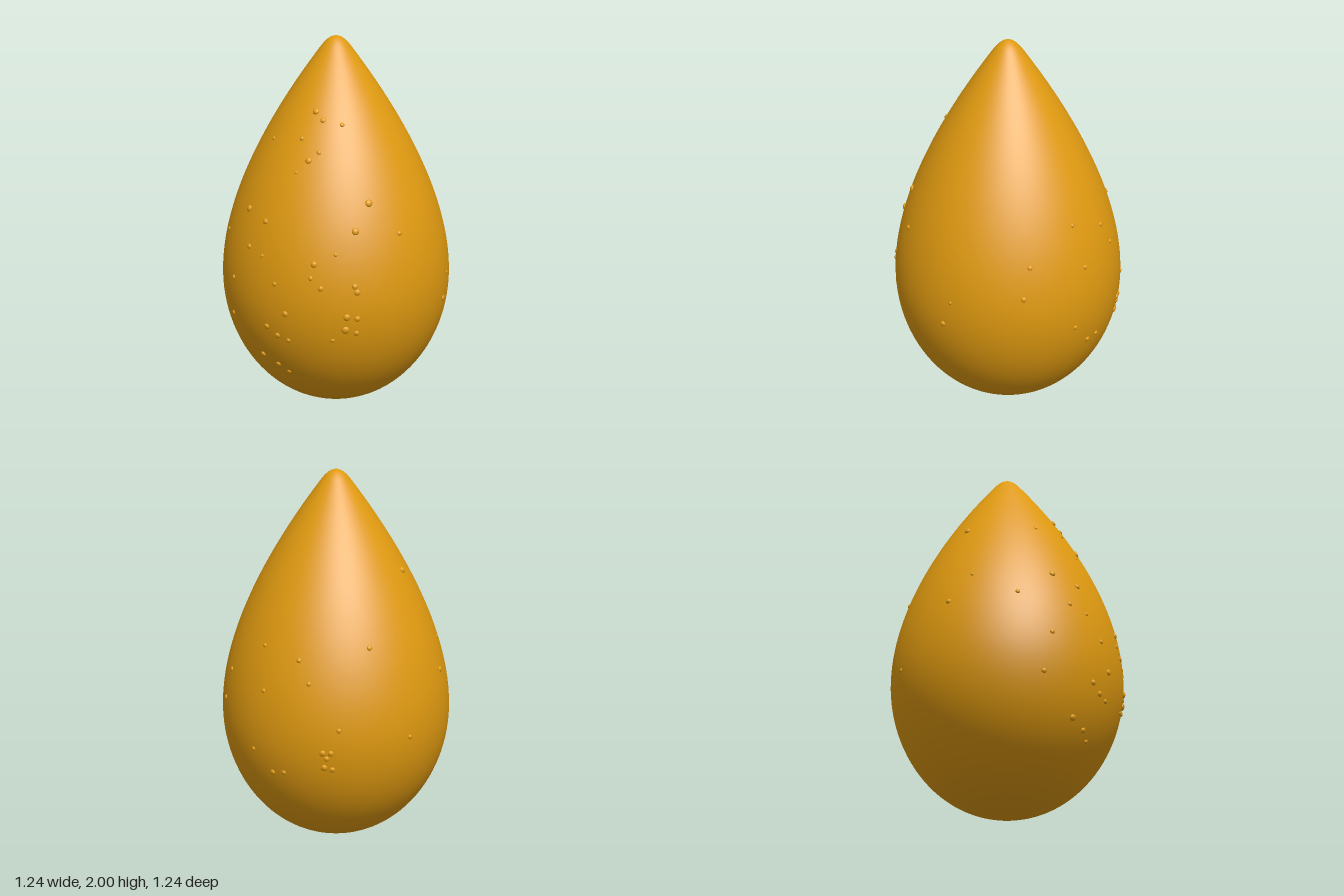
import * as THREE from 'three';

const V = (x, y) => new THREE.Vector2(x, y);

// Teardrop outline: round base, long shoulder, small rounded tip
const profile = [
  ...new THREE.CubicBezierCurve(V(0, 0), V(0.36, 0), V(0.62, 0.34), V(0.62, 0.72)).getPoints(28),
  ...new THREE.CubicBezierCurve(V(0.62, 0.72), V(0.62, 1.15), V(0.33, 1.62), V(0.08, 1.945)).getPoints(32).slice(1),
  ...new THREE.CubicBezierCurve(V(0.08, 1.945), V(0.05, 1.984), V(0.025, 2), V(0, 2)).getPoints(10).slice(1),
];

// Radius and outward slope of the body at a given height
function surfaceAt(y) {
  const i = Math.max(1, profile.findIndex((p) => p.y >= y));
  const a = profile[i - 1], b = profile[i];
  const t = (y - a.y) / (b.y - a.y);
  const d = b.clone().sub(a).normalize();
  return { radius: a.x + (b.x - a.x) * t, nr: d.y, ny: -d.x };
}

// Droplets as [sideways offset, height, size], seen square on to one side
const frontDrops = [
  [0.07, 1.64, 0.017], [0.12, 1.6, 0.014], [0.21, 1.58, 0.012], [-0.15, 1.49, 0.01],
  [0.04, 1.51, 0.011], [0.15, 1.45, 0.012], [0.11, 1.41, 0.017], [0.06, 1.35, 0.008],
  [0.41, 1.21, 0.019], [0.39, 1.08, 0.018], [-0.2, 1.14, 0.017], [-0.06, 1.1, 0.015],
  [-0.15, 0.96, 0.013], [-0.39, 0.99, 0.012], [-0.5, 1.12, 0.01], [0.53, 1.05, 0.013],
  [0.24, 0.92, 0.016], [0.23, 0.85, 0.012], [0.33, 0.97, 0.01], [-0.05, 0.93, 0.01],
  [-0.27, 0.77, 0.013], [0.42, 0.81, 0.015], [0.43, 0.78, 0.016], [0.04, 0.8, 0.012],
  [0.28, 0.8, 0.014], [0.1, 0.65, 0.016], [0.39, 0.65, 0.018], [0.43, 0.64, 0.015],
  [0.38, 0.58, 0.02], [0.42, 0.56, 0.014], [-0.02, 0.56, 0.015], [0.04, 0.52, 0.015],
  [0.1, 0.5, 0.013], [-0.3, 0.56, 0.013], [-0.1, 0.37, 0.017], [-0.01, 0.33, 0.015],
  [0.04, 0.29, 0.012], [0.32, 0.52, 0.011],
];
const backDrops = [
  [-0.18, 0.63, 0.016], [-0.14, 0.63, 0.015], [-0.16, 0.6, 0.014], [-0.17, 0.55, 0.017],
  [-0.13, 0.54, 0.015], [-0.41, 0.49, 0.015], [-0.36, 0.5, 0.014], [-0.28, 1.09, 0.013],
  [-0.1, 0.75, 0.012], [0.5, 0.97, 0.014], [0.31, 1.49, 0.018], [0.07, 1.15, 0.014],
  [-0.24, 0.98, 0.012], [-0.45, 0.92, 0.012], [0.28, 0.68, 0.012], [-0.43, 1.14, 0.011],
  [-0.5, 0.6, 0.012],
];
const sideDrops = [[0.13, 0.63, 0.015], [0.49, 0.81, 0.014], [0.49, 0.97, 0.013], [0.18, 0.76, 0.009]];

export function createModel() {
  const model = new THREE.Group();
  const amber = new THREE.MeshStandardMaterial({ color: 0xe09a10 });
  amber.name = 'amber';

  const body = new THREE.Mesh(new THREE.LatheGeometry(profile, 128), amber);
  body.name = 'teardropBody';
  model.add(body);

  // Flattened beads half sunk into the skin
  const bead = new THREE.SphereGeometry(1, 16, 12);
  const out = new THREE.Vector3(0, 0, 1);
  function addDrops(name, drops, turn) {
    const group = new THREE.Group();
    group.name = name;
    for (const [u, y, size] of drops) {
      const { radius, nr, ny } = surfaceAt(y);
      const angle = Math.asin(Math.min(1, u / radius)) + turn;
      const drop = new THREE.Mesh(bead, amber);
      drop.name = 'droplet';
      drop.position.set(Math.sin(angle) * radius, y, Math.cos(angle) * radius);
      drop.quaternion.setFromUnitVectors(out,
        new THREE.Vector3(Math.sin(angle) * nr, ny, Math.cos(angle) * nr));
      drop.scale.set(size, size, size * 0.6);
      group.add(drop);
    }
    model.add(group);
  }
  addDrops('frontDroplets', frontDrops, 0);
  addDrops('sideDroplets', sideDrops, Math.PI / 2);
  addDrops('backDroplets', backDrops, -Math.PI * 0.75);

  return model;
}
